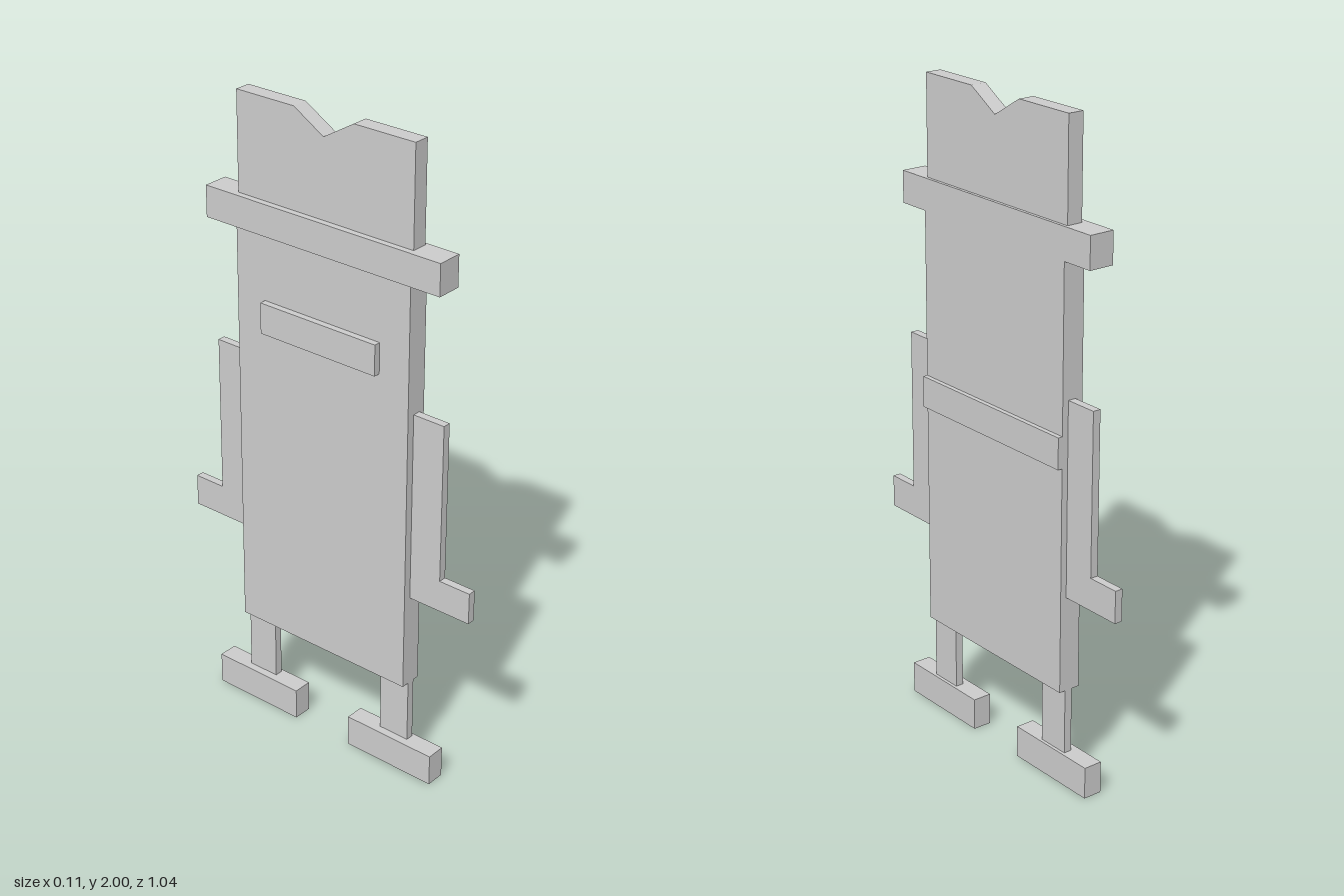
import * as THREE from 'three';

const material = new THREE.MeshStandardMaterial({ color: 0xcccccc, flatShading: true });

// Flat slab cut from a [z, y] outline, filling x0..x1
function slab(name, x0, x1, outline) {
  const shape = new THREE.Shape(outline.map(([z, y]) => new THREE.Vector2(z, y)));
  const geometry = new THREE.ExtrudeGeometry(shape, { depth: x1 - x0, bevelEnabled: false });
  geometry.rotateY(-Math.PI / 2).translate(x1, 0, 0);
  const mesh = new THREE.Mesh(geometry, material);
  mesh.name = name;
  return mesh;
}

// Rectangular block from its limits
function block(name, x0, x1, y0, y1, z0, z1) {
  const geometry = new THREE.BoxGeometry(x1 - x0, y1 - y0, Math.abs(z1 - z0));
  geometry.translate((x0 + x1) / 2, (y0 + y1) / 2, (z0 + z1) / 2);
  const mesh = new THREE.Mesh(geometry, material);
  mesh.name = name;
  return mesh;
}

export function createModel() {
  const model = new THREE.Group();
  model.name = 'flatFigure';

  // Torso with a belt on one face and a plate on the other
  model.add(
    block('body', -0.032, 0.038, 0.304, 1.6, -0.311, 0.311),
    block('belt', 0.038, 0.0525, 1.002, 1.098, -0.311, 0.311),
    block('plate', -0.0525, -0.032, 1.302, 1.398, -0.208, 0.208)
  );

  // Hat: wide brim and a crown with a notched top
  model.add(
    block('hatBrim', -0.042, 0.038, 1.6, 1.697, -0.416, 0.416),
    slab('hatCrown', -0.022, 0.028, [
      [-0.311, 1.697], [0.311, 1.697], [0.311, 2], [0.104, 2],
      [0, 1.938], [-0.104, 2], [-0.311, 2],
    ])
  );

  // Mirrored limbs: L-shaped arms with hands, legs and feet
  for (const [side, s] of [['front', 1], ['back', -1]]) {
    const arm = [
      [0.311, 0.602], [0.521, 0.602], [0.521, 0.702],
      [0.416, 0.702], [0.416, 1.2], [0.311, 1.2],
    ].map(([z, y]) => [z * s, y]);
    model.add(
      slab(side + 'Arm', -0.007, 0.018, arm),
      block(side + 'Leg', -0.007, 0.018, 0.1, 0.304, 0.208 * s, 0.311 * s),
      block(side + 'Foot', -0.032, 0.028, 0, 0.1, 0.104 * s, 0.416 * s)
    );
  }
  return model;
}
